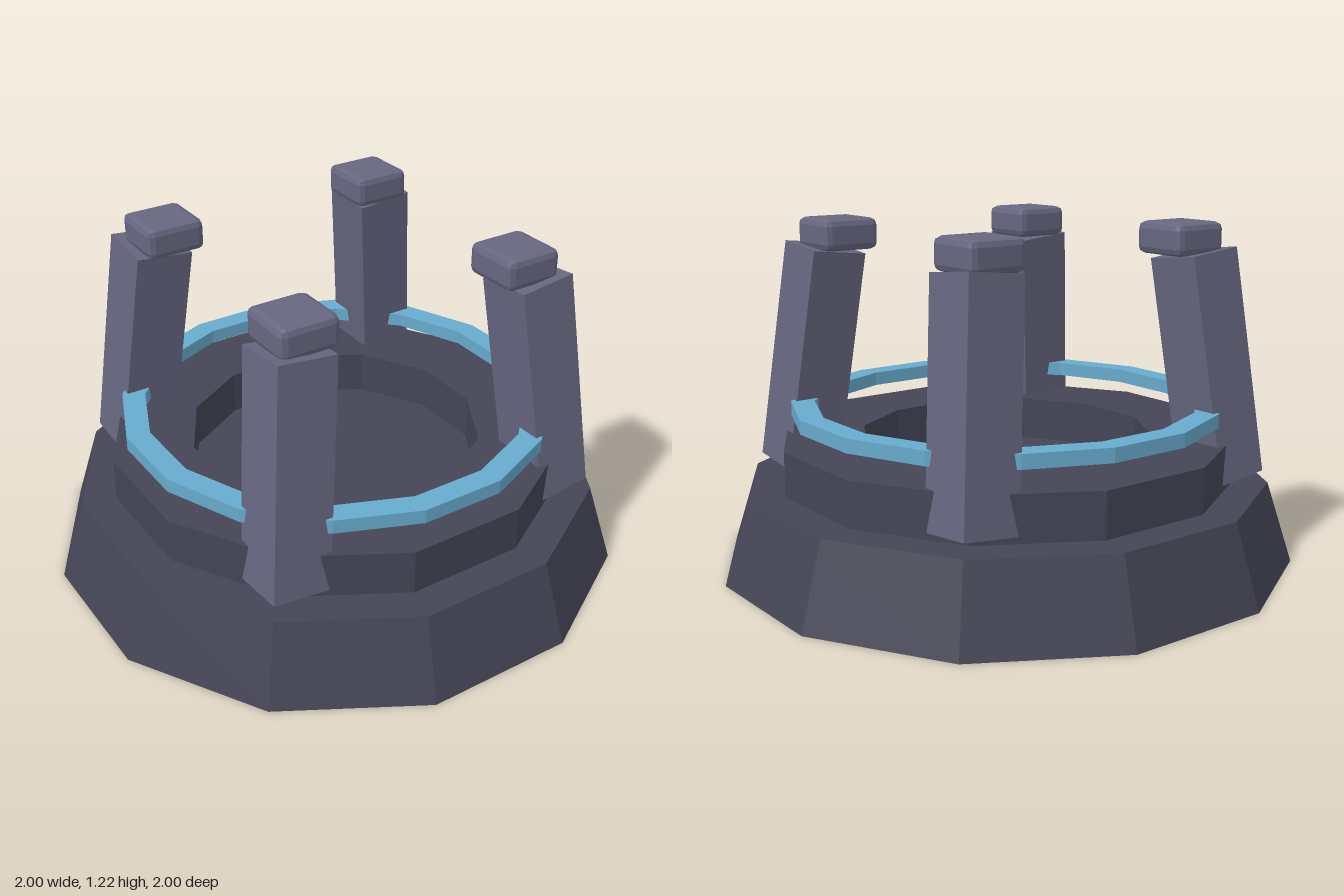
import * as THREE from 'three';
import { RoundedBoxGeometry } from 'three/addons/geometries/RoundedBoxGeometry.js';

// Lathe with flats facing the axes; radii are given to the middle of each flat.
function facetedLathe(profile, sides) {
  const k = 1 / Math.cos(Math.PI / sides);
  const points = profile.map(([r, y]) => new THREE.Vector2(r * k, y));
  return new THREE.LatheGeometry(points, sides, Math.PI / sides);
}

export function createModel() {
  const model = new THREE.Group();
  model.name = 'pillaredPlatform';

  const material = (name, color) => {
    const m = new THREE.MeshStandardMaterial({ color, flatShading: true });
    m.name = name;
    return m;
  };
  const darkStone = material('darkStone', 0x444455);
  const lightStone = material('lightStone', 0x666680);
  const glowBlue = material('glowBlue', 0x66aacc);

  const add = (name, geometry, mat, parent = model) => {
    const mesh = new THREE.Mesh(geometry, mat);
    mesh.name = name;
    parent.add(mesh);
    return mesh;
  };

  // Tapered twelve-sided base
  add('base', facetedLathe([[0, 0], [1, 0], [0.91, 0.29], [0, 0.29]], 12), darkStone);

  // Raised rim around the sunken floor
  add('rim', facetedLathe([[0.79, 0.29], [0.79, 0.45], [0.51, 0.45], [0.51, 0.29]], 12), darkStone);

  // Sixteen-sided ring running through the pillars
  add('energyRing', facetedLathe(
    [[0.675, 0.52], [0.757, 0.52], [0.757, 0.57], [0.675, 0.57], [0.675, 0.52]], 16), glowBlue);

  // Four inward-leaning pillars with chamfered caps
  const pillarGeometry = new THREE.BoxGeometry(0.21, 0.805, 0.21);
  const capGeometry = new RoundedBoxGeometry(0.214, 0.112, 0.214, 1, 0.024);
  const lean = 0.105;
  for (const sx of [-1, 1]) {
    for (const sz of [-1, 1]) {
      const corner = new THREE.Group();
      corner.name = (sz > 0 ? 'front' : 'back') + (sx > 0 ? 'Left' : 'Right') + 'Pillar';
      const shaft = add('shaft', pillarGeometry, lightStone, corner);
      shaft.position.set(sx * 0.506, 0.71, sz * 0.506);
      shaft.rotation.set(-sz * lean, 0, sx * lean);
      add('cap', capGeometry, lightStone, corner).position.set(sx * 0.43, 1.16, sz * 0.43);
      model.add(corner);
    }
  }
  return model;
}
